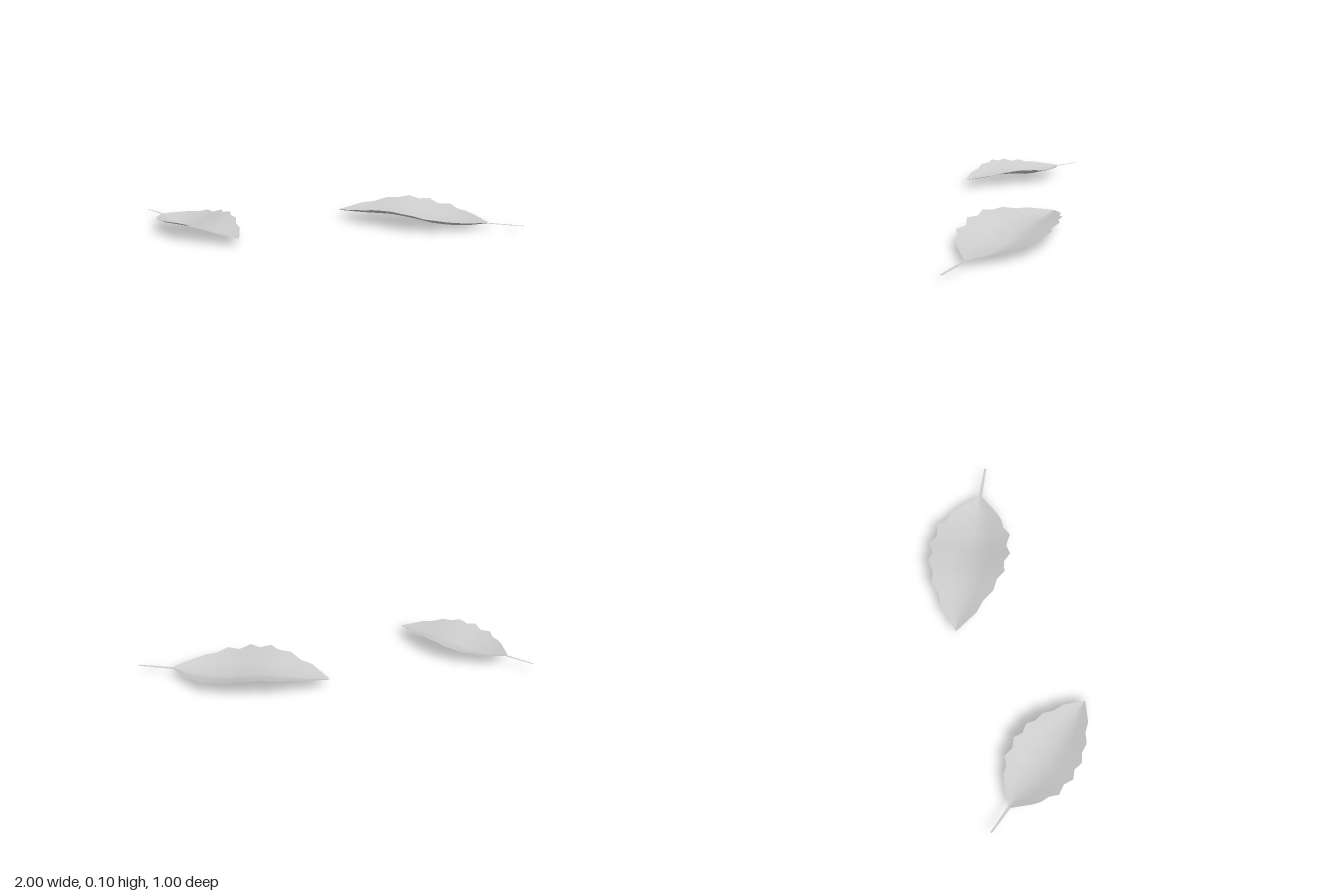
import * as THREE from 'three';

// [distance from base, half width, midrib height], for a leaf of length 1
const ROWS = [
  [0, 0.013, 0], [0.11, 0.127, -0.021], [0.162, 0.169, -0.027], [0.227, 0.195, -0.030],
  [0.28, 0.247, -0.030], [0.363, 0.234, -0.026], [0.43, 0.27, -0.013], [0.494, 0.237, -0.004],
  [0.568, 0.253, 0.006], [0.63, 0.211, 0.011], [0.71, 0.201, 0.011], [0.78, 0.146, 0.009],
  [0.865, 0.114, 0.009], [1, 0, 0.012],
];
const FOLD = 0.33; // rise of the blade from midrib to edge
const SIDES = [-1, -0.5, 0, 0.5, 1];

// Surface through rows of points, facing up
function sheet(rows) {
  const n = rows[0].length, index = [];
  for (let i = 0; i < rows.length - 1; i++) {
    for (let j = 0; j < n - 1; j++) {
      const a = i * n + j, b = a + n;
      index.push(a, b, a + 1, a + 1, b, b + 1);
    }
  }
  const geometry = new THREE.BufferGeometry();
  geometry.setAttribute('position', new THREE.Float32BufferAttribute(rows.flat(2), 3));
  geometry.setIndex(index);
  geometry.computeVertexNormals();
  return geometry;
}

function createLeaf(name, base, tip, tilt, material) {
  const leaf = new THREE.Group();
  leaf.name = name;

  // Scalloped blade, folded along the midrib
  const blade = new THREE.Mesh(sheet(ROWS.map(([z, w, y]) =>
    SIDES.map((s) => [s * w, y + tilt * z + Math.abs(s) * w * FOLD, z]))), material);
  blade.name = 'blade';

  // Flat tapering stem
  const stem = new THREE.Mesh(sheet([[-0.228, 0.007], [0, 0.012]].map(([z, w]) =>
    [[-w, 0, z], [w, 0, z]])), material);
  stem.name = 'stem';

  leaf.add(blade, stem);
  const dx = tip[0] - base[0], dz = tip[1] - base[2];
  leaf.position.set(...base);
  leaf.rotation.y = Math.atan2(dx, dz);
  leaf.scale.setScalar(Math.hypot(dx, dz));
  return leaf;
}

export function createModel() {
  const model = new THREE.Group();
  model.name = 'fallenLeaves';
  const leafGrey = new THREE.MeshStandardMaterial({ color: 0xcccccc, side: THREE.DoubleSide });
  leafGrey.name = 'leafGrey';
  model.add(
    createLeaf('largeLeaf', [0.81, 0.09, -0.297], [-0.013, -0.27], 0, leafGrey),
    createLeaf('smallLeaf', [-0.863, 0.105, 0.17], [-0.265, 0.457], -0.02, leafGrey),
  );
  return model;
}
